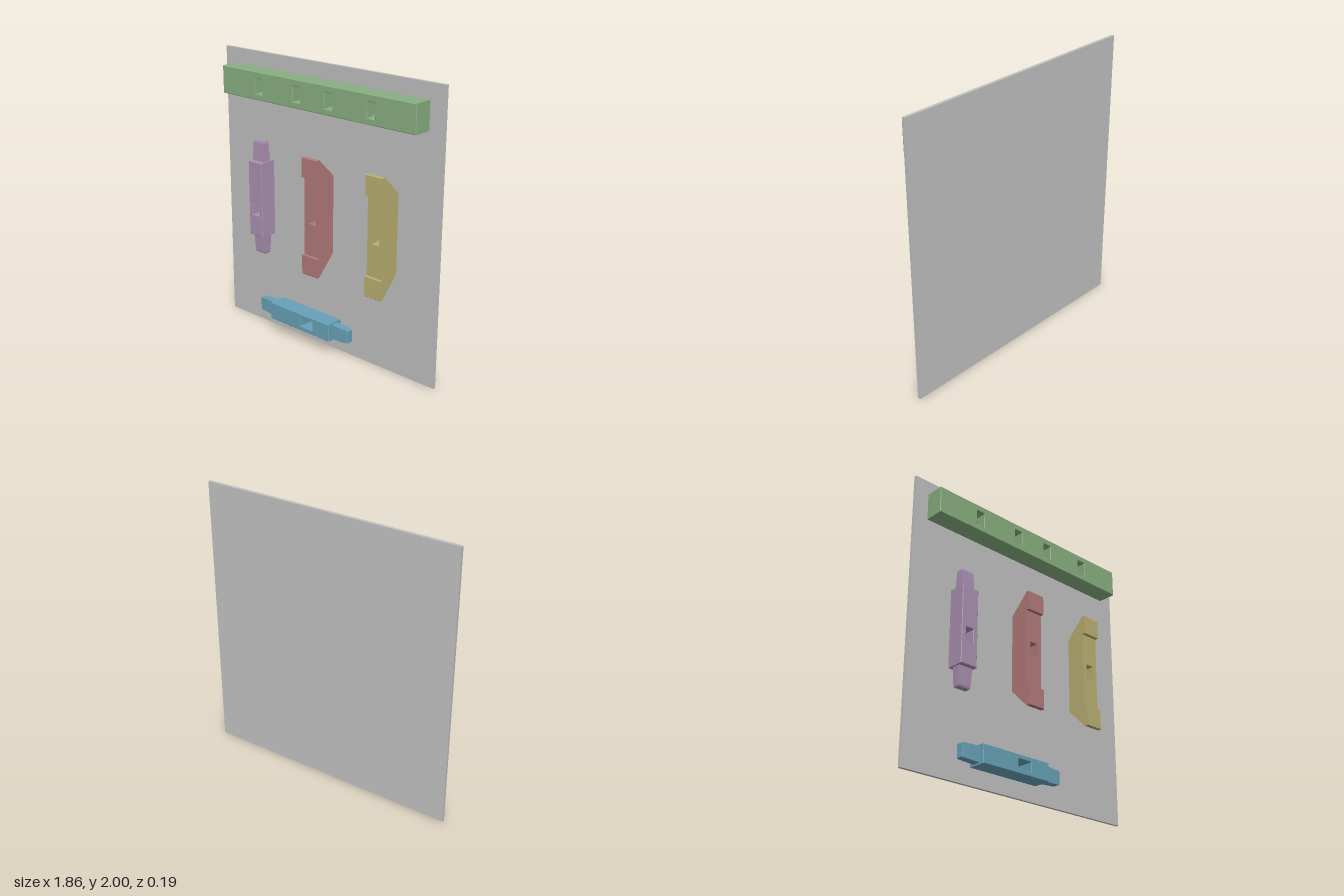
import * as THREE from 'three';

const BACK = -0.0715; // front face of the panel, where every part rests
const BEVEL = 0.004;

function material(name, color) {
  const m = new THREE.MeshStandardMaterial({ color });
  m.name = name;
  return m;
}

// Rectangle outline, optionally as a hole path
function rect(Type, x0, x1, y0, y1) {
  const p = new Type();
  p.moveTo(x0, y0);
  p.lineTo(x1, y0);
  p.lineTo(x1, y1);
  p.lineTo(x0, y1);
  p.closePath();
  return p;
}

// Block seated on the panel, with rectangular mortises cut through along z
function mortisedBlock(name, mat, [x0, x1, y0, y1], front, holes, bevel = BEVEL) {
  const shape = rect(THREE.Shape, x0, x1, y0, y1);
  holes.forEach((h) => shape.holes.push(rect(THREE.Path, ...h)));
  const geo = new THREE.ExtrudeGeometry(shape, {
    depth: front - BACK - 2 * bevel,
    bevelEnabled: bevel > 0,
    bevelSize: bevel, bevelThickness: bevel, bevelOffset: -bevel, bevelSegments: 1,
  });
  geo.translate(0, 0, BACK + bevel);
  const mesh = new THREE.Mesh(geo, mat);
  mesh.name = name;
  return mesh;
}

// Tenon growing along +y from its base, tapering slightly, with a chamfered tip
function tenon(name, mat, width, depth, length) {
  const geo = new THREE.BoxGeometry(width, length, depth, 1, 10, 1).toNonIndexed();
  const p = geo.attributes.position;
  for (let i = 0; i < p.count; i++) {
    const t = p.getY(i) / length + 0.5;
    const inset = 0.006 * t + (t > 0.95 ? 0.003 : 0);
    p.setX(i, p.getX(i) - Math.sign(p.getX(i)) * inset);
    p.setZ(i, p.getZ(i) - Math.sign(p.getZ(i)) * inset);
  }
  geo.translate(0, length / 2, 0);
  geo.computeVertexNormals();
  const mesh = new THREE.Mesh(geo, mat);
  mesh.name = name;
  return mesh;
}

// Upright strut: mortised middle, with mirrored sloped hooks at both ends
function hookedStrut(name, mat, x0, x1) {
  const g = new THREE.Group();
  g.name = name;
  const c = (x0 + x1) / 2;
  g.add(mortisedBlock(name + 'Body', mat, [x0, x1, 0.713, 1.263], 0.067,
    [[c - 0.031, c + 0.031, 0.938, 1.04]], 0));
  for (const s of [1, -1]) {
    const outline = [[BACK, 0.275], [0.067, 0.275], [0.0925, 0.275], [0.0925, 0.408],
      [0.0885, 0.412], [0.067, 0.412]].map(([z, y]) => new THREE.Vector2(-z, s * y));
    const geo = new THREE.ExtrudeGeometry(new THREE.Shape(outline),
      { depth: x1 - x0, bevelEnabled: false });
    geo.rotateY(Math.PI / 2); // profile x becomes -z, depth becomes +x
    geo.translate(x0, 0.988, 0);
    const end = new THREE.Mesh(geo, mat);
    end.name = name + (s > 0 ? 'TopHook' : 'BottomHook');
    g.add(end);
  }
  return g;
}

export function createModel() {
  const model = new THREE.Group();
  model.name = 'joineryDisplay';
  const grey = material('panelGrey', 0xc0c0c0);
  const green = material('sageGreen', 0x88af80);
  const purple = material('mutedPurple', 0xaa91b1);
  const red = material('dustyRed', 0xb37a7a);
  const yellow = material('oliveYellow', 0xb9af70);
  const blue = material('steelBlue', 0x67a1b7);

  // Backing panel
  const panel = new THREE.Mesh(new THREE.BoxGeometry(1.86, 2, 0.021), grey);
  panel.name = 'backPanel';
  panel.position.set(0, 1, -0.082);
  model.add(panel);

  // Long beam with four mortises
  model.add(mortisedBlock('beam', green, [-0.827, 0.822, 1.705, 1.896], 0.065,
    [-0.484, -0.14, 0.135, 0.48].map((x) => [x - 0.032, x + 0.032, 1.746, 1.851])));

  // Upright block with a tenon at each end
  const upright = new THREE.Group();
  upright.name = 'uprightTenonBlock';
  upright.add(mortisedBlock('uprightBody', purple, [-0.609, -0.48, 0.715, 1.26], 0.055,
    [[-0.574, -0.515, 0.87, 0.97]]));
  for (const s of [1, -1]) {
    const t = tenon(s > 0 ? 'topTenon' : 'bottomTenon', purple, 0.106, 0.062, 0.14);
    t.position.set(-0.544, s > 0 ? 1.26 : 0.717, -0.008);
    t.rotation.z = s > 0 ? 0 : Math.PI;
    upright.add(t);
  }
  model.add(upright);

  // Two hooked struts
  model.add(hookedStrut('middleStrut', red, -0.069, 0.064));
  model.add(hookedStrut('leftStrut', yellow, 0.472, 0.604));

  // Level block with a tenon at each end
  const level = new THREE.Group();
  level.name = 'levelTenonBlock';
  level.add(mortisedBlock('levelBody', blue, [-0.412, 0.138, 0.113, 0.24], 0.055,
    [[-0.123, -0.015, 0.147, 0.209]]));
  for (const s of [1, -1]) {
    const t = tenon(s > 0 ? 'leftTenon' : 'rightTenon', blue, 0.106, 0.062, 0.139);
    t.position.set(s > 0 ? 0.136 : -0.41, 0.177, -0.008);
    t.rotation.z = -s * Math.PI / 2;
    level.add(t);
  }
  model.add(level);

  return model;
}
